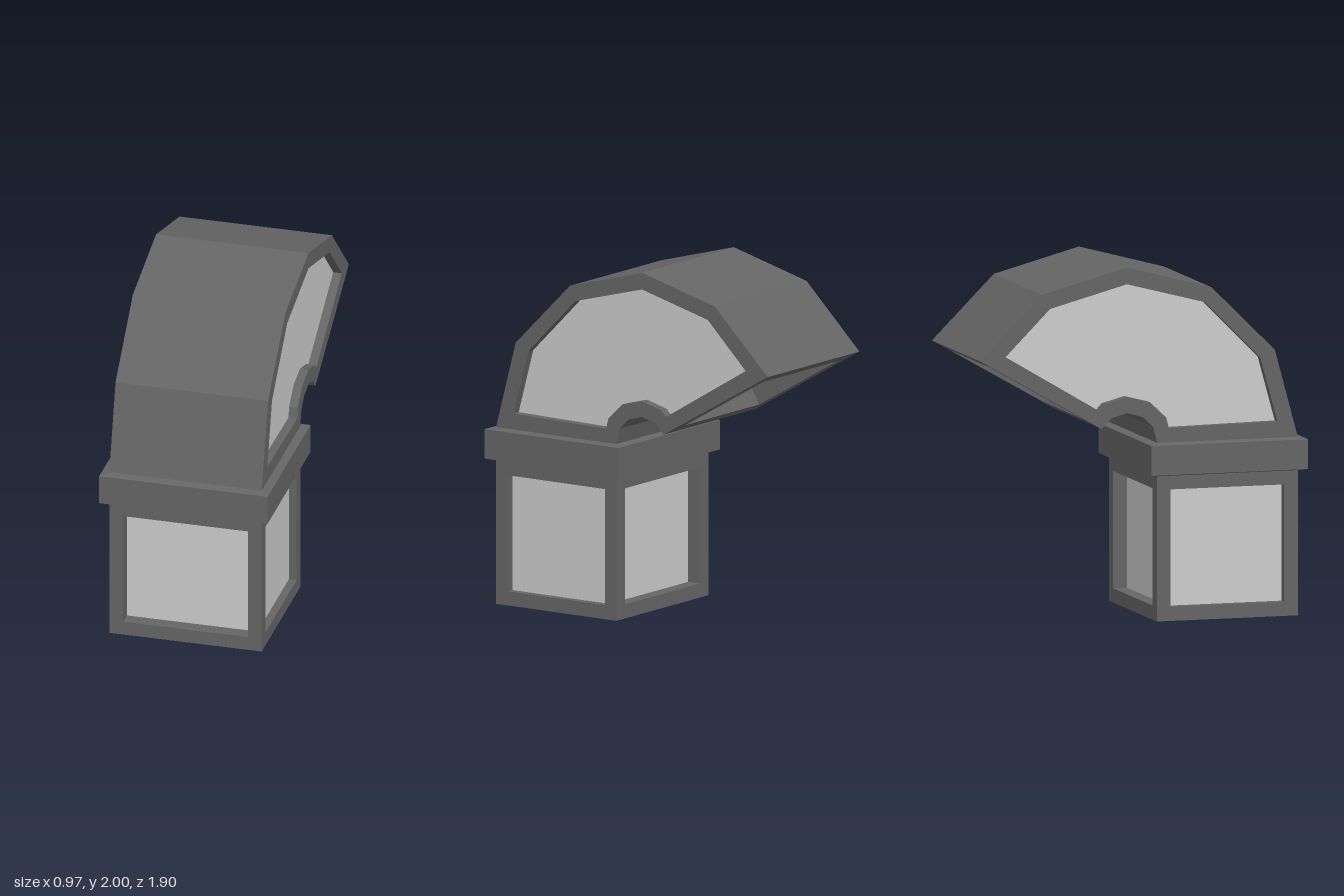
import * as THREE from 'three';

const dark = new THREE.MeshStandardMaterial({ color: 0x656565, flatShading: true, side: THREE.DoubleSide });
const light = new THREE.MeshStandardMaterial({ color: 0xcccccc, flatShading: true, side: THREE.DoubleSide });

const W = 0.44;          // half width
const CZ = 0.497;        // centre of the base in z
const HD = 0.412;        // half depth of the base
const BASE_H = 0.82;

// Side profile of the hood as [z, y]; the mouth is the edge from index 5 to 6
const outer = [[0.91, 1], [0.775, 1.5], [0.405, 1.867], [-0.09, 2], [-0.588, 1.867], [-0.95, 1.508],
  [-0.238, 1.097], [-0.18, 1.155], [-0.09, 1.18], [0, 1.155], [0.064, 1.095], [0.088, 1]];
// Window cut into each side of the hood
const inner = [[0.79, 1.095], [0.69, 1.46], [0.365, 1.785], [-0.09, 1.905], [-0.54, 1.785], [-0.8, 1.525],
  [-0.255, 1.2], [-0.222, 1.235], [-0.09, 1.27], [0.045, 1.235], [0.14, 1.145], [0.155, 1.085]];

const shapeOf = (pts, hole) => {
  const s = new THREE.Shape(pts.map(p => new THREE.Vector2(...p)));
  if (hole) s.holes.push(new THREE.Path(hole.map(p => new THREE.Vector2(...p))));
  return s;
};
const rect = (w, h) => [[-w, -h], [w, -h], [w, h], [-w, h]];
const plate = (shape, depth) => new THREE.ExtrudeGeometry(shape, { depth, bevelEnabled: false });

function add(parent, name, geometry, material, x = 0, y = 0, z = 0) {
  const mesh = new THREE.Mesh(geometry, material);
  mesh.name = name;
  mesh.position.set(x, y, z);
  parent.add(mesh);
  return mesh;
}

function buildBase() {
  const g = new THREE.Group();
  g.name = 'base';
  const h = BASE_H / 2, rim = 0.08;
  // Four window frames around a recessed core
  for (let i = 0; i < 4; i++) {
    const side = i % 2 === 1;
    const halfWide = side ? HD : W, out = side ? W : HD, t = side ? 0.045 : rim;
    const geo = plate(shapeOf(rect(halfWide, h), rect(halfWide - rim, h - rim)), t);
    geo.translate(0, 0, out - t);
    geo.rotateY(i * Math.PI / 2);
    add(g, 'baseFrame', geo, dark, 0, h, CZ);
  }
  add(g, 'basePanels', new THREE.BoxGeometry(2 * (W - 0.045), BASE_H - 0.08, 2 * (HD - rim)), light, 0, h, CZ);
  add(g, 'floor', new THREE.BoxGeometry(2 * W, rim, 2 * HD), dark, 0, rim / 2, CZ);
  return g;
}

function buildCollar() {
  // Bevelled band with slightly sloped top and bottom
  const geo = new THREE.ExtrudeGeometry(shapeOf(rect(W, HD)), {
    depth: 0.168, bevelThickness: 0.01, bevelSize: 0.046, bevelSegments: 1
  });
  geo.rotateX(-Math.PI / 2);
  const collar = new THREE.Mesh(geo, dark);
  collar.name = 'collar';
  collar.position.set(0, 0.827, CZ);
  return collar;
}

function buildHood() {
  const g = new THREE.Group();
  g.name = 'hood';
  const recess = 0.05;
  // Side frames and their recessed panels
  for (const s of [-1, 1]) {
    const frame = plate(shapeOf(outer, inner), recess).rotateY(-Math.PI / 2);
    add(g, 'hoodSideFrame', frame, dark, s > 0 ? W : recess - W);
    const panel = new THREE.ShapeGeometry(shapeOf(inner)).rotateY(s * Math.PI / 2);
    if (s > 0) panel.scale(1, 1, -1);
    add(g, 'hoodSidePanel', panel, light, s * (W - recess));
  }
  // Faceted skin across the width, leaving the mouth and the seat on the collar open
  const pos = [];
  for (let i = 0; i < outer.length - 1; i++) {
    if (i === 5) continue;
    const [z0, y0] = outer[i], [z1, y1] = outer[i + 1];
    pos.push(-W, y0, z0, W, y0, z0, W, y1, z1, -W, y0, z0, W, y1, z1, -W, y1, z1);
  }
  const skin = new THREE.BufferGeometry();
  skin.setAttribute('position', new THREE.Float32BufferAttribute(pos, 3));
  skin.computeVertexNormals();
  add(g, 'hoodSkin', skin, dark);

  // Mouth: rim and a recess without its front face
  const [[z0, y0], [z1, y1]] = outer.slice(5, 7);
  const half = Math.hypot(z1 - z0, y1 - y0) / 2, depth = 0.25;
  const mouth = new THREE.Group();
  mouth.name = 'mouth';
  mouth.position.set(0, (y0 + y1) / 2, (z0 + z1) / 2);
  mouth.rotation.x = Math.atan2(z1 - z0, y1 - y0);
  const ow = W - 0.085, oh = half - 0.1;
  add(mouth, 'mouthRim', new THREE.ShapeGeometry(shapeOf(rect(W, half), rect(ow, oh))), dark);
  const box = new THREE.BoxGeometry(2 * ow, 2 * oh, depth);
  const index = Array.from(box.index.array);
  box.setIndex([...index.slice(0, 24), ...index.slice(30)]);
  box.clearGroups();
  add(mouth, 'mouthRecess', box, dark, 0, 0, -depth / 2);
  g.add(mouth);
  return g;
}

export function createModel() {
  const model = new THREE.Group();
  model.name = 'ventHood';
  model.add(buildBase(), buildCollar(), buildHood());
  return model;
}
